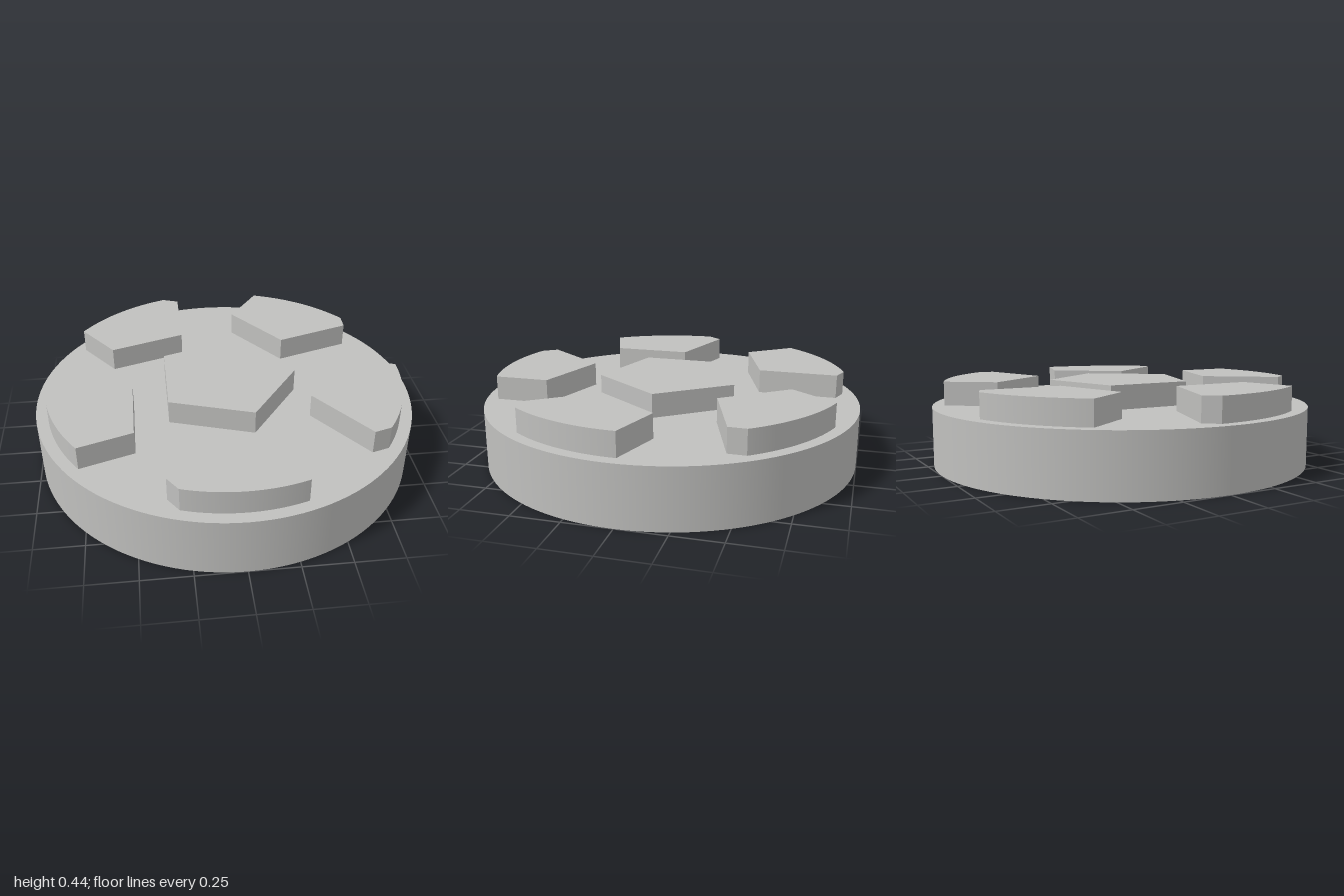
import * as THREE from 'three';

const BASE_HEIGHT = 0.31;
const TOP = 0.435;

const grey = new THREE.MeshStandardMaterial({ color: 0xc0c0be });
grey.name = 'plain grey';

// Raised plate from an outline drawn in x and z
function raisedPlate(shape, name) {
  const geometry = new THREE.ExtrudeGeometry(shape, {
    depth: TOP - BASE_HEIGHT + 0.005, bevelEnabled: false, curveSegments: 32,
  });
  geometry.rotateX(Math.PI / 2);
  geometry.translate(0, TOP, 0);
  const mesh = new THREE.Mesh(geometry, grey);
  mesh.name = name;
  return mesh;
}

export function createModel() {
  const model = new THREE.Group();
  model.name = 'patchedDisc';

  // Round base
  const base = new THREE.Mesh(new THREE.CylinderGeometry(1, 1, BASE_HEIGHT, 128), grey);
  base.name = 'base';
  base.position.y = BASE_HEIGHT / 2;
  model.add(base);

  // Central pentagon, one corner towards +x
  const corners = [];
  for (let i = 0; i < 5; i++) {
    const a = (i * Math.PI * 2) / 5;
    corners.push(new THREE.Vector2(0.382 * Math.cos(a), 0.382 * Math.sin(a)));
  }
  model.add(raisedPlate(new THREE.Shape(corners), 'centrePentagon'));

  // Outer patches: partial pentagons cut by a circle, repeated five times
  const outline = new THREE.Shape();
  outline.moveTo(0.422, 0.247);
  outline.lineTo(0.665, -0.088);
  outline.lineTo(0.938, 0);
  outline.absarc(0, 0, 0.938, 0, THREE.MathUtils.degToRad(36.6), false);
  outline.lineTo(0.665, 0.585);
  outline.closePath();
  for (let i = 0; i < 5; i++) {
    const patch = raisedPlate(outline, 'outerPatch' + (i + 1));
    patch.rotation.y = (i * Math.PI * 2) / 5;
    model.add(patch);
  }

  return model;
}
